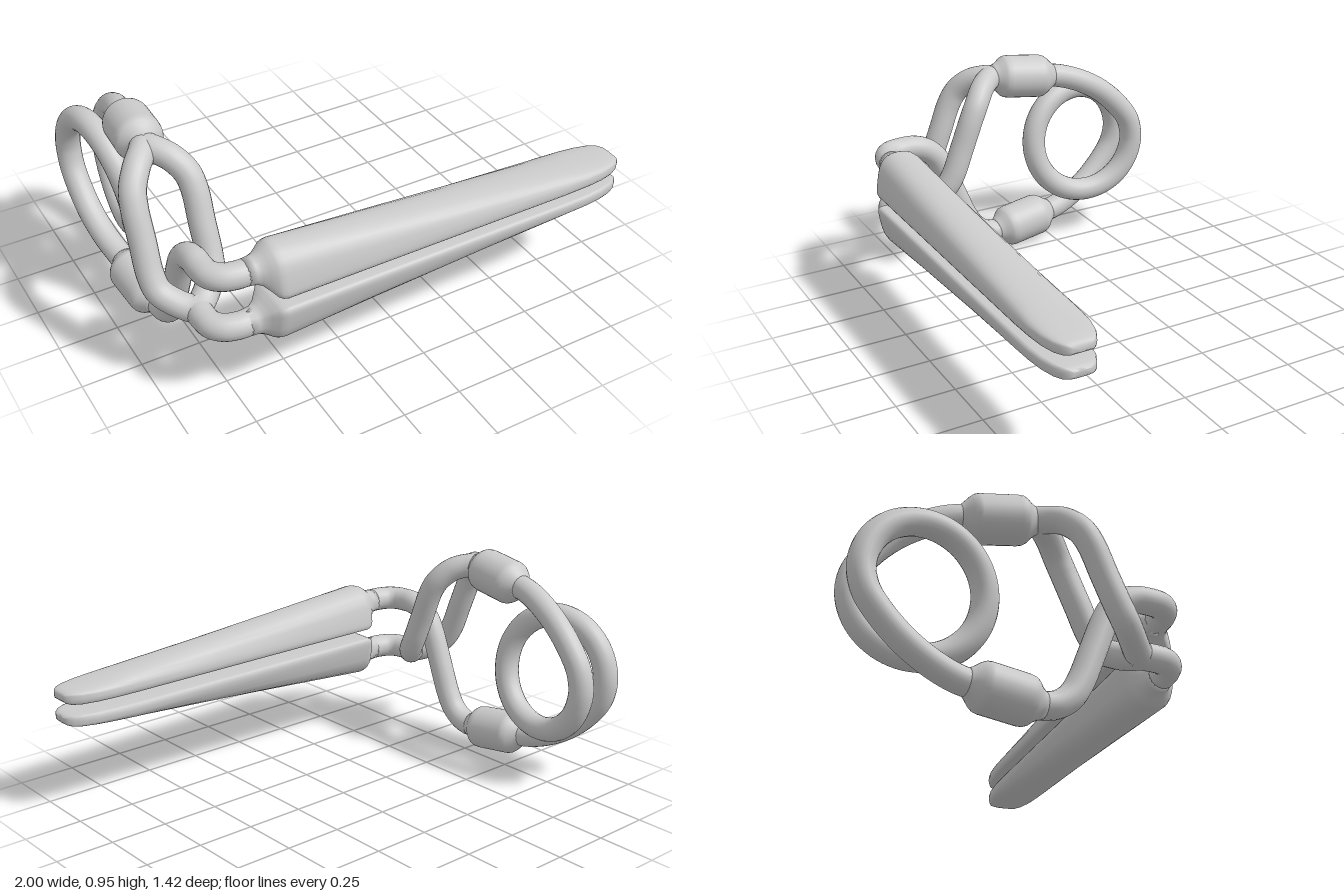
import * as THREE from 'three';

const MID = 0.478;   // height of the mirror plane between the jaws
const CX = -0.825;   // x of the handle axis
const R = 0.053;     // wire radius
const material = new THREE.MeshStandardMaterial({ color: 0xcccccc });

const V = (x, y, z) => new THREE.Vector3(x, y, z);
const mirrorY = (p) => V(p.x, 2 * MID - p.y, p.z);

function part(name, geometry) {
  const mesh = new THREE.Mesh(geometry, material);
  mesh.name = name;
  return mesh;
}

function wire(name, points, segments = 80) {
  const curve = new THREE.CatmullRomCurve3(points, false, 'centripetal');
  return part(name, new THREE.TubeGeometry(curve, segments, R, 20));
}

// Half outline of the jaw section: [width fraction, lip height, dome fraction]
const OUTLINE = [
  [0, 0, 0], [0.5, 0, 0], [0.86, 0, 0], [0.94, 0.003, 0], [0.99, 0.012, 0], [1, 0.025, 0],
  [0.985, 0.04, 0], [0.95, 0.045, 0.15], [0.88, 0.045, 0.42], [0.8, 0.045, 0.62],
  [0.66, 0.045, 0.8], [0.47, 0.045, 0.92], [0.25, 0.045, 0.98], [0, 0.045, 1],
];

// Stations along the jaw: [x, blend from round shank to jaw, half width, height, base lift]
const STATIONS = [[-0.7, 0], [-0.67, 0.04], [-0.65, 0.18], [-0.63, 0.48], [-0.61, 0.82], [-0.595, 0.95], [-0.575, 1]]
  .map(([x, t]) => [x, t, 0.114, 0.19, 0]);
for (const [x, w, k] of [[-0.2, 0.114, 1], [0.3, 0.114, 1], [0.7, 0.114, 1], [0.8, 0.111, 1], [0.88, 0.103, 1],
  [0.94, 0.088, 1], [0.975, 0.07, 0.93], [0.993, 0.053, 0.75], [1, 0.038, 0.4]]) {
  const h = 0.19 - 0.138 * (x + 0.575) / 1.575;
  STATIONS.push([x, 1, w, h * k, h * (1 - k) / 2]);
}

function jaw(name, side) {
  const half = OUTLINE.length, ring = 2 * half - 2;
  const pos = [], index = [];
  for (const [x, t, w, h, lift] of STATIONS) {
    for (let i = 0; i < ring; i++) {
      const k = i < half ? i : ring - i, sign = i < half ? 1 : -1;
      const [u, lip, dome] = OUTLINE[k];
      const lipScale = Math.min(1, h / 0.053);
      const jy = lift + lip * lipScale + dome * (h - 0.045 * lipScale), jz = u * w;
      const a = Math.atan2(u * 0.114, 0.1 - (lip + dome * 0.145));   // matching point on the round shank
      const y = THREE.MathUtils.lerp(0.098 - R * Math.cos(a), jy, t);
      const z = THREE.MathUtils.lerp(R * Math.sin(a), jz, t);
      pos.push(x, MID + side * (0.022 + y), 0.597 + sign * z);
    }
  }
  const tri = (a, b, c) => (side > 0 ? index.push(a, b, c) : index.push(a, c, b));
  for (let s = 0; s < STATIONS.length - 1; s++) {
    for (let i = 0; i < ring; i++) {
      const a = s * ring + i, b = s * ring + (i + 1) % ring;
      tri(a, a + ring, b);
      tri(b, a + ring, b + ring);
    }
  }
  // Close the tip and the shank end
  const last = (STATIONS.length - 1) * ring;
  for (let i = 1; i < ring - 1; i++) {
    tri(last, last + i + 1, last + i);
    tri(0, i, i + 1);
  }
  const g = new THREE.BufferGeometry();
  g.setAttribute('position', new THREE.Float32BufferAttribute(pos, 3));
  // Ring order runs base, +z side, top: make every face point outward
  for (let i = 0; i < index.length; i += 3) [index[i + 1], index[i + 2]] = [index[i + 2], index[i + 1]];
  g.setIndex(orientOutward(pos, index));
  g.computeVertexNormals();
  return part(name, g);
}

// Flips all faces when the enclosed volume comes out negative
function orientOutward(pos, index) {
  const p = (i) => V(pos[3 * i], pos[3 * i + 1], pos[3 * i + 2]);
  let volume = 0;
  for (let i = 0; i < index.length; i += 3) volume += p(index[i]).dot(p(index[i + 1]).cross(p(index[i + 2])));
  return volume < 0 ? index.slice().reverse() : index;
}

// Sleeve joining an arm to the spring
function ferrule(name, from, to) {
  const length = from.distanceTo(to);
  const profile = [[0, 0], [0.05, 0], [0.057, 0.02], [0.072, 0.04], [0.087, 0.055], [0.094, 0.068], [0.097, 0.09],
    [0.097, 0.24], [0.094, 0.255], [0.084, 0.272], [0.066, 0.292], [0.056, 0.305], [0.05, length], [0, length]];
  const mesh = part(name, new THREE.LatheGeometry(profile.map(([r, y]) => new THREE.Vector2(r, y)), 32));
  mesh.position.copy(from);
  mesh.quaternion.setFromUnitVectors(V(0, 1, 0), to.clone().sub(from).normalize());
  return mesh;
}

export function createModel() {
  const group = new THREE.Group();
  group.name = 'springClip';

  group.add(jaw('upperJaw', 1), jaw('lowerJaw', -1));

  // Elbow from the jaw shank into the arm
  const elbow = [V(-0.67, 0.598, 0.597), V(-0.735, 0.598, 0.595), V(-0.785, 0.598, 0.578),
    V(-0.815, 0.598, 0.545), V(CX, 0.598, 0.5), V(CX, 0.597, 0.44)];

  // Single arm: upper jaw down to the lower sleeve
  group.add(wire('singleArm', [...elbow, V(CX, 0.578, 0.385), V(CX, 0.535, 0.335), V(CX, MID, 0.303),
    V(CX, 0.34, 0.247), V(CX, 0.21, 0.193), V(CX, 0.145, 0.152), V(CX, 0.107, 0.1), V(CX, 0.094, 0.05), V(CX, 0.094, 0.02)]));

  // Forked arm: lower jaw up to the upper sleeve, split around the single arm
  group.add(wire('forkedArmShank', [...elbow.map(mirrorY), V(CX, 0.363, 0.415)]));
  for (const s of [1, -1]) {
    const path = [[0, 0.359, 0.445], [0.025, 0.363, 0.42], [0.07, 0.384, 0.38], [0.11, 0.42, 0.338], [0.122, MID, 0.303],
      [0.122, 0.6, 0.253], [0.122, 0.725, 0.203], [0.11, 0.785, 0.17], [0.07, 0.838, 0.122],
      [0.025, 0.86, 0.07], [0, 0.863, 0.03]];
    group.add(wire(s > 0 ? 'leftFork' : 'rightFork', path.map(([x, y, z]) => V(CX + s * x, y, z))));
  }

  // Half-turn about the handle axis, which relates the two spring ends
  const turn = (p) => V(2 * CX - p.x, 2 * MID - p.y, p.z);
  const start = V(CX, 0.865, 0.05), end = V(-0.795, 0.829, -0.262);
  group.add(ferrule('upperSleeve', start, end), ferrule('lowerSleeve', turn(start), turn(end)));

  // Spring: lead-in, one full coil, lead-out
  const lead = [V(-0.8, 0.836, -0.22), V(-0.79, 0.822, -0.3), V(-0.772, 0.785, -0.4), V(-0.757, 0.723, -0.5),
    V(-0.748, 0.635, -0.59), V(-0.745, 0.56, -0.64)];
  const coil = [];
  for (let i = 0; i <= 24; i++) {
    const a = (i / 24) * Math.PI * 2;
    coil.push(V(CX + 0.08 * Math.cos(a / 2), MID - 0.243 * Math.sin(a), -0.415 - 0.243 * Math.cos(a)));
  }
  group.add(wire('springCoil', [...lead, ...coil, ...lead.map(turn).reverse()], 200));

  return group;
}
